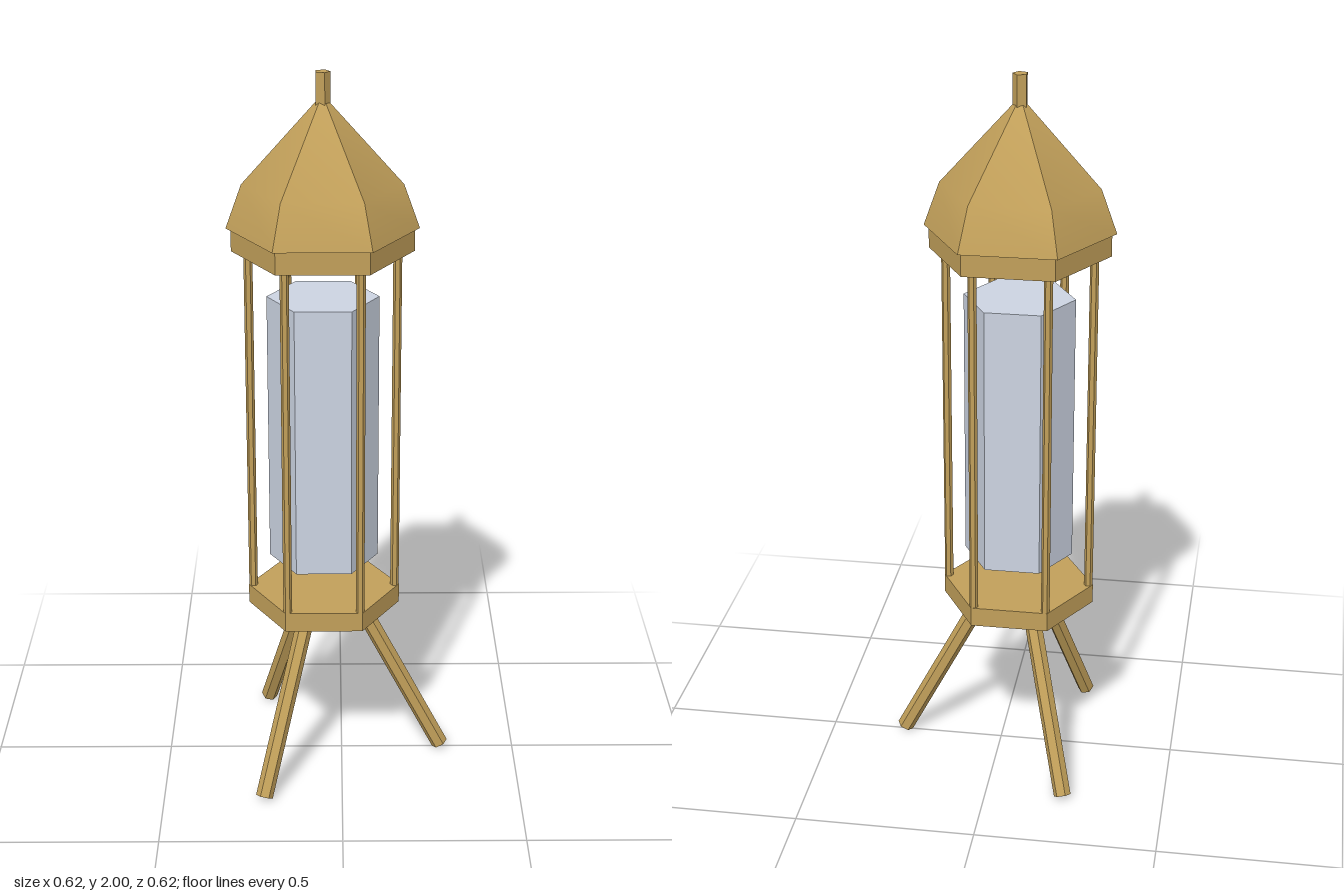
import * as THREE from 'three';
import { toCreasedNormals } from 'three/addons/utils/BufferGeometryUtils.js';

export function createModel() {
  const model = new THREE.Group();
  model.name = 'lantern';
  const brass = new THREE.MeshStandardMaterial({ color: 0xc2a05a });
  brass.name = 'brass';
  const glass = new THREE.MeshStandardMaterial({ color: 0xccd4e2 });
  glass.name = 'frostedGlass';

  // Everything but the legs' spread is centred on this axis
  const body = new THREE.Group();
  body.name = 'lanternBody';
  body.position.x = -0.05;
  model.add(body);

  const add = (name, geometry, material) => {
    const mesh = new THREE.Mesh(toCreasedNormals(geometry, 0.6), material);
    mesh.name = name;
    body.add(mesh);
    return mesh;
  };

  // Upright prism between two heights, one corner pointing to +x
  const prism = (name, radius, y0, y1, material = brass, sides = 6) => {
    const g = new THREE.CylinderGeometry(radius, radius, y1 - y0, sides);
    g.rotateY(Math.PI / 2);
    g.translate(0, (y0 + y1) / 2, 0);
    return add(name, g, material);
  };

  // Base, glass core, roof band and finial
  prism('base', 0.213, 0.475, 0.53);
  prism('glassCore', 0.152, 0.625, 1.39, glass);
  prism('roofBand', 0.245, 1.517, 1.58);
  prism('finial', 0.021, 1.91, 2.0, brass, 5);

  // Six-sided roof with a bend in its slope
  const profile = [[0, 1.58], [0.258, 1.58], [0.215, 1.7], [0.018, 1.92], [0, 1.92]]
    .map(([r, y]) => new THREE.Vector2(r, y));
  const roof = new THREE.LatheGeometry(profile, 6);
  roof.rotateY(Math.PI / 2);
  add('roof', roof, brass);

  // Corner posts
  for (let i = 0; i < 6; i++) {
    const a = (i * Math.PI) / 3;
    const post = prism('post', 0.012, 0.525, 1.52);
    post.position.set(0.2 * Math.cos(a), 0, 0.2 * Math.sin(a));
  }

  // Three splayed legs
  const top = new THREE.Vector2(0.1, 0.47);
  const foot = new THREE.Vector2(0.337, 0.011);
  const span = foot.clone().sub(top);
  for (let i = 0; i < 3; i++) {
    const g = new THREE.CylinderGeometry(0.024, 0.024, span.length(), 6);
    g.rotateY(Math.PI / 2);
    g.rotateZ(Math.atan2(span.x, -span.y));
    g.translate((top.x + foot.x) / 2, (top.y + foot.y) / 2, 0);
    add('leg', g, brass).rotation.y = (i * 2 * Math.PI) / 3;
  }

  return model;
}
